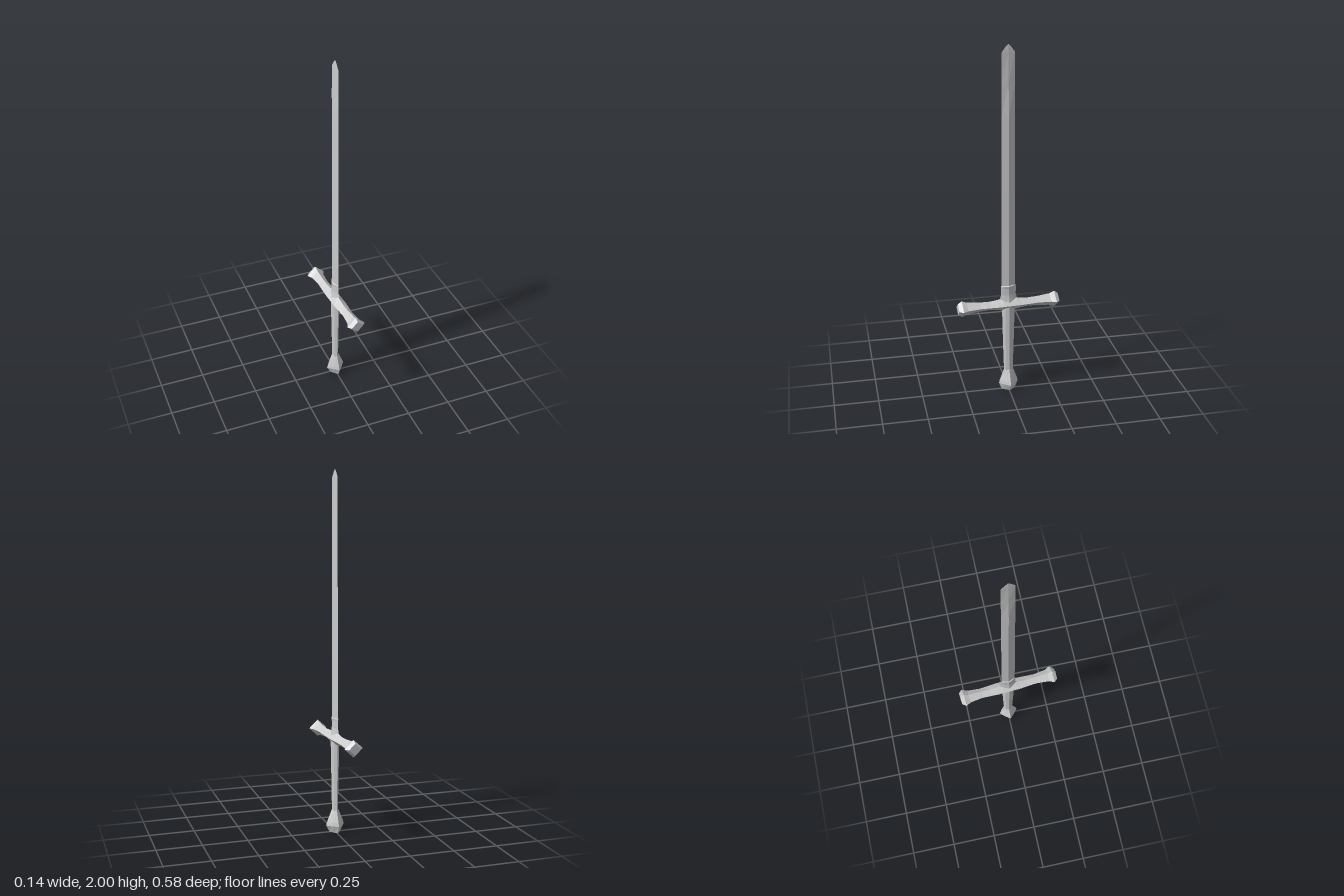
import * as THREE from 'three';

const steel = new THREE.MeshStandardMaterial({ color: 0xcccccc, flatShading: true });

// Unit section: points on both axes, plus four diagonals (0.5 = diamond, 0.71 = octagon)
function section(diag) {
  if (!diag) return [[1, 0], [0, 1], [-1, 0], [0, -1]];
  const d = diag;
  return [[1, 0], [d, d], [0, 1], [-d, d], [-1, 0], [-d, -d], [0, -1], [d, -d]];
}

// Skin a section through rings [y, halfX, halfZ, offsetX], capped at both ends
function loft(name, rings, diag) {
  const shape = section(diag), n = shape.length, pos = [];
  const pt = (r, i) => {
    const [y, a, b, ox = 0] = rings[r], [u, v] = shape[i % n];
    return [u * a + ox, y, v * b];
  };
  const mid = r => [rings[r][3] || 0, rings[r][0], 0];
  const last = rings.length - 1;
  for (let i = 0; i < n; i++) {
    for (let r = 0; r < last; r++) {
      const a = pt(r, i), b = pt(r, i + 1), c = pt(r + 1, i), d = pt(r + 1, i + 1);
      pos.push(...a, ...c, ...b, ...b, ...c, ...d);
    }
    pos.push(...mid(0), ...pt(0, i), ...pt(0, i + 1));
    pos.push(...mid(last), ...pt(last, i + 1), ...pt(last, i));
  }
  const geo = new THREE.BufferGeometry();
  geo.setAttribute('position', new THREE.Float32BufferAttribute(pos, 3));
  geo.computeVertexNormals();
  const mesh = new THREE.Mesh(geo, steel);
  mesh.name = name;
  return mesh;
}

export function createModel() {
  const sword = new THREE.Group();
  sword.name = 'sword';

  // Slim diamond blade, thinning toward the point
  sword.add(loft('blade', [
    [0.6, 0.011, 0.040], [1.62, 0.010, 0.037], [1.8, 0.006, 0.037],
    [1.957, 0.003, 0.036], [1.985, 0.0015, 0.016], [2, 0.0005, 0.001],
  ]));

  // Collar wrapped round the blade root, flaring into the guard
  sword.add(loft('collar', [
    [0.54, 0.024, 0.054], [0.575, 0.018, 0.049], [0.595, 0.015, 0.043],
    [0.635, 0.015, 0.044], [0.648, 0.018, 0.044], [0.651, 0.014, 0.041],
  ], 0.55));

  // Crossguard: diamond bar with waisted arms and flared ends
  const arm = [
    [0.035, 0.036, 0.037], [0.065, 0.036, 0.031], [0.11, 0.033, 0.026],
    [0.165, 0.030, 0.028], [0.24, 0.038, 0.036], [0.268, 0.053, 0.048], [0.289, 0.035, 0.033],
  ];
  const bar = [...arm.map(([z, a, b]) => [-z, a, b]).reverse(), ...arm]
    .map(([z, a, b]) => [z, a, b, -0.034 * z]);
  const guard = loft('crossguard', bar);
  guard.geometry.rotateX(Math.PI / 2);
  guard.position.y = 0.537;
  sword.add(guard);

  // Faceted grip tapering down to the pommel
  sword.add(loft('grip', [
    [0.11, 0.018, 0.026], [0.3, 0.021, 0.032], [0.5, 0.025, 0.037], [0.525, 0.025, 0.037],
  ], 0.62));

  // Pommel
  sword.add(loft('pommel', [
    [0, 0.032, 0.041], [0.04, 0.054, 0.056], [0.06, 0.048, 0.052],
    [0.12, 0.023, 0.030], [0.13, 0.018, 0.026],
  ], 0.53));

  // The whole sword is turned slightly about its long axis
  sword.rotation.y = THREE.MathUtils.degToRad(5.6);
  const model = new THREE.Group();
  model.add(sword);
  return model;
}
